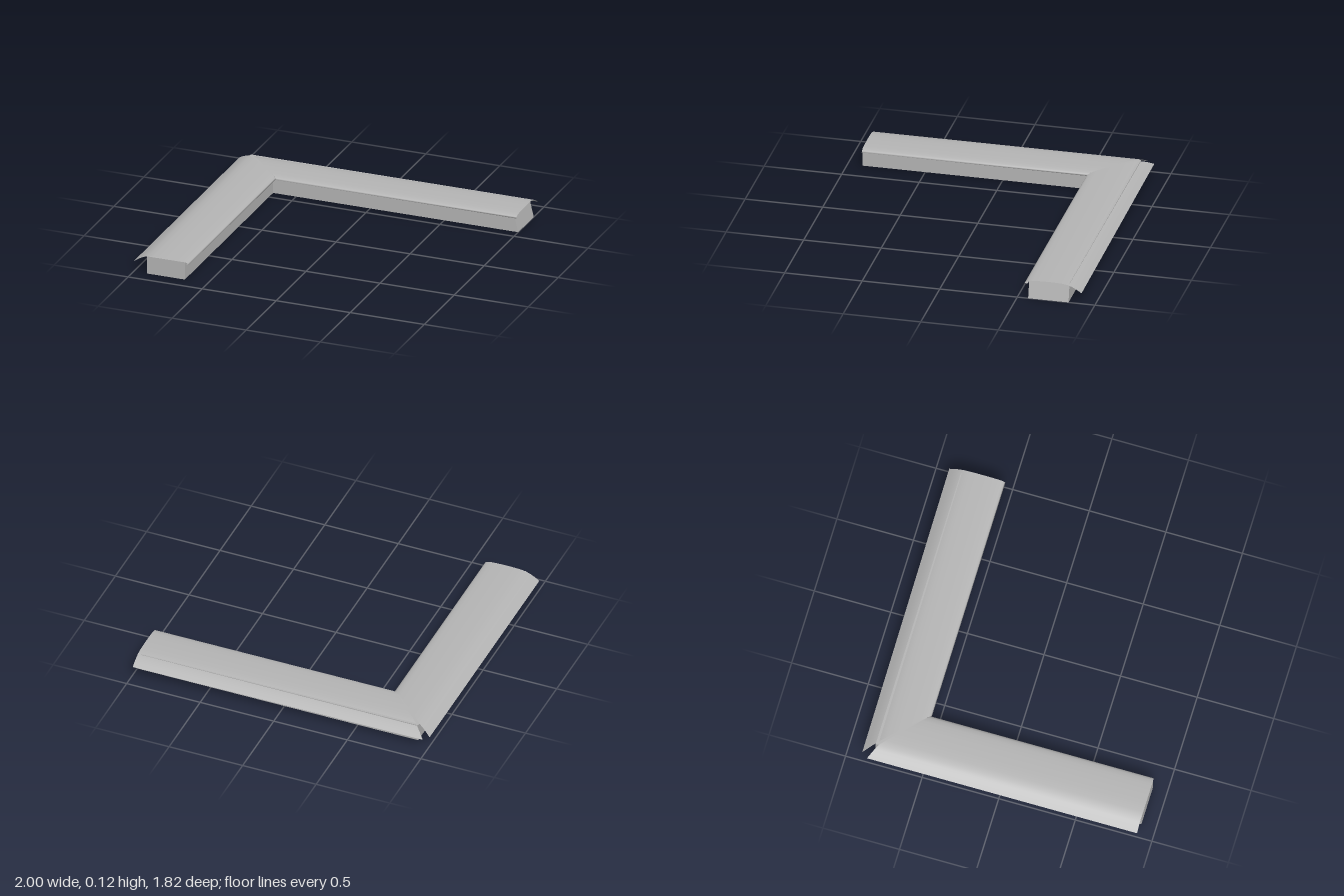
import * as THREE from 'three';

// Coping cross-section: [distance in from the outer edge, height]
const PROFILE = [
  [0, 0.07], [0.03, 0.09], [0.06, 0.106], [0.09, 0.117], [0.13, 0.123], [0.19, 0.125],
  [0.26, 0.1245], [0.32, 0.122], [0.35, 0.117], [0.364, 0.11], [0.37, 0.102], [0.352, 0.098],
];

// Open curved sheet swept between two end outlines
function sheet(startAt, endAt) {
  const pos = [], index = [];
  PROFILE.forEach(([d, y], i) => {
    pos.push(...startAt(d, y), ...endAt(d, y));
    if (i < PROFILE.length - 1) {
      const k = i * 2;
      index.push(k, k + 2, k + 1, k + 2, k + 3, k + 1);
    }
  });
  const g = new THREE.BufferGeometry();
  g.setAttribute('position', new THREE.Float32BufferAttribute(pos, 3));
  g.setIndex(index);
  g.computeVertexNormals();
  return g;
}

export function createModel() {
  const group = new THREE.Group();
  const grey = new THREE.MeshStandardMaterial({ color: 0xb4b4b4, side: THREE.DoubleSide });
  grey.name = 'grey';
  const add = (name, geometry) => {
    const mesh = new THREE.Mesh(geometry, grey);
    mesh.name = name;
    group.add(mesh);
  };

  // L-shaped wall under the copings (shape y is -z)
  const plan = new THREE.Shape([
    [-0.91, -0.905], [-0.655, -0.905], [-0.655, 0.57], [1, 0.57], [1, 0.83], [-0.91, 0.83],
  ].map(([x, y]) => new THREE.Vector2(x, y)));
  const wall = new THREE.ExtrudeGeometry(plan, { depth: 0.117, bevelEnabled: false });
  wall.rotateX(-Math.PI / 2);
  // The long arm's end leans inward at the top
  const p = wall.attributes.position;
  for (let i = 0; i < p.count; i++) {
    if (p.getX(i) > 0.9 && p.getY(i) > 0.05) p.setX(i, 0.972);
  }
  wall.computeVertexNormals();
  add('wall', wall);

  // Coping on the side arm, with its mitre bending at the outer overhang
  const sideMitre = (d) => (d < 0.09 ? -0.86 + d * 0.55 : -0.81 + (d - 0.09) * 0.93);
  add('sideCoping', sheet(
    (d, y) => [-1 + d, y, 0.903],
    (d, y) => [-1 + d, y, sideMitre(d)],
  ));

  // Coping on the back arm, widening slightly towards its free end
  add('backCoping', sheet(
    (d, y) => [-0.97 + d * 0.93, y, -0.9 + d * 0.955],
    (d, y) => [0.996, y, -0.913 + d * 0.99],
  ));
  return group;
}
